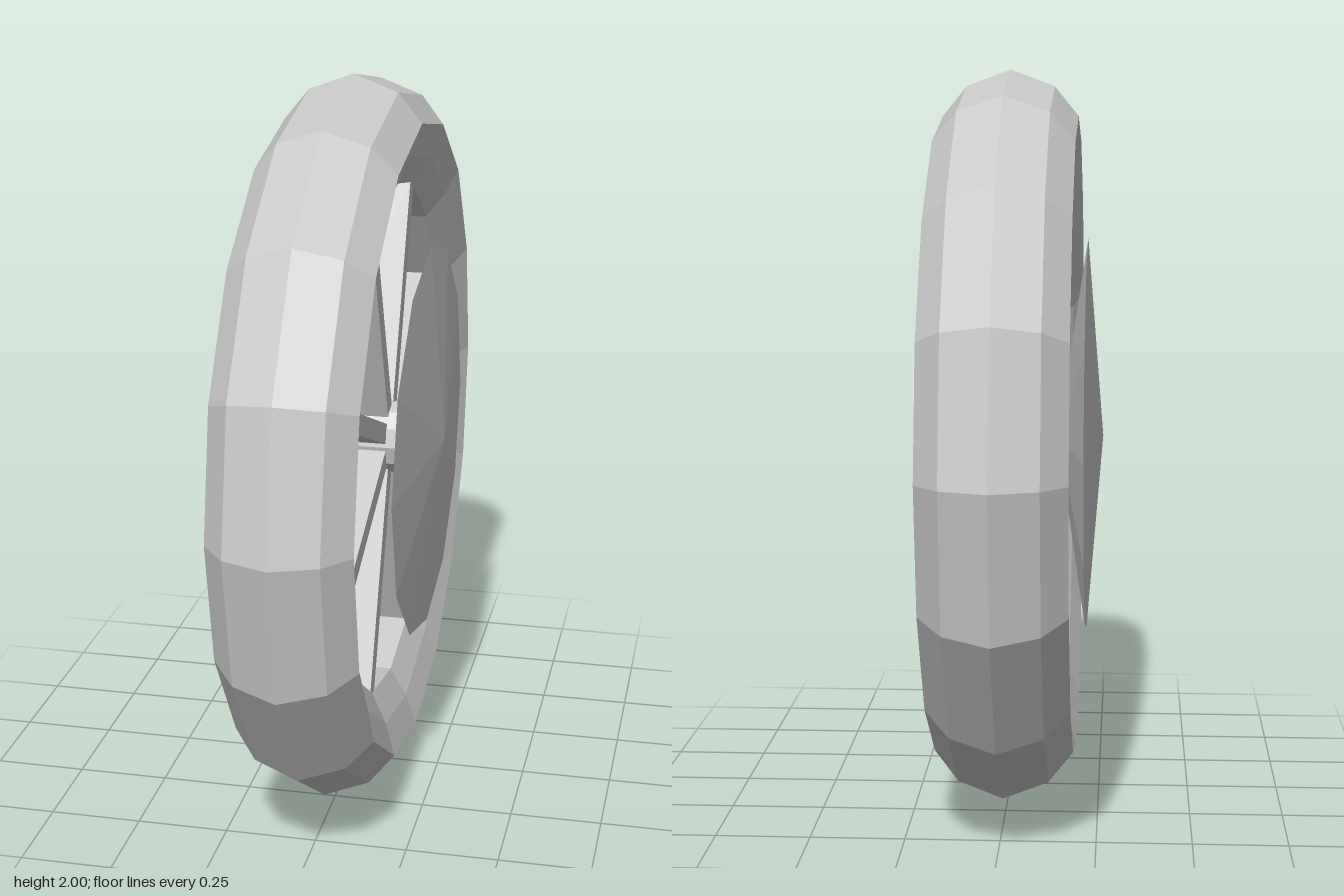
import * as THREE from 'three';

export function createModel() {
  const wheel = new THREE.Group();
  wheel.name = 'wheel';
  const material = new THREE.MeshStandardMaterial({ color: 0xcccccc, flatShading: true });

  // Turned part: [radius, x] profile spun around the x axis
  const turned = (name, profile, sides, side = 1) => {
    const points = profile.map(([r, x]) => new THREE.Vector2(r, x));
    const mesh = new THREE.Mesh(new THREE.LatheGeometry(points, sides).rotateZ(-side * Math.PI / 2), material);
    mesh.name = name;
    mesh.position.y = 1;
    wheel.add(mesh);
  };

  // Tyre: closed faceted ring with a flat inner band
  turned('tyre', [
    [0.71, -0.11], [0.79, -0.155], [0.875, -0.185], [0.955, -0.12], [1, 0],
    [0.955, 0.12], [0.875, 0.185], [0.79, 0.155], [0.71, 0.11], [0.71, -0.11],
  ], 16);

  // Hub caps: shallow double cones on either side
  for (const side of [1, -1]) {
    turned(side > 0 ? 'leftHubCap' : 'rightHubCap', [[0, 0.13], [0.545, 0.213], [0, 0.257]], 12, side);
  }

  // Axle core joining the caps
  turned('axle', [[0, -0.15], [0.1, -0.15], [0.1, 0.15], [0, 0.15]], 12);

  // Spokes: wide flat plates from the axle to the tyre
  const spokes = new THREE.Group();
  spokes.name = 'spokes';
  spokes.position.y = 1;
  const plate = new THREE.BoxGeometry(0.22, 0.68, 0.055).translate(0, 0.38, 0);
  for (let i = 0; i < 8; i++) {
    const spoke = new THREE.Mesh(plate, material);
    spoke.name = 'spoke';
    spoke.rotation.x = (i + 0.5) * Math.PI / 4;
    spokes.add(spoke);
  }
  wheel.add(spokes);

  return wheel;
}
